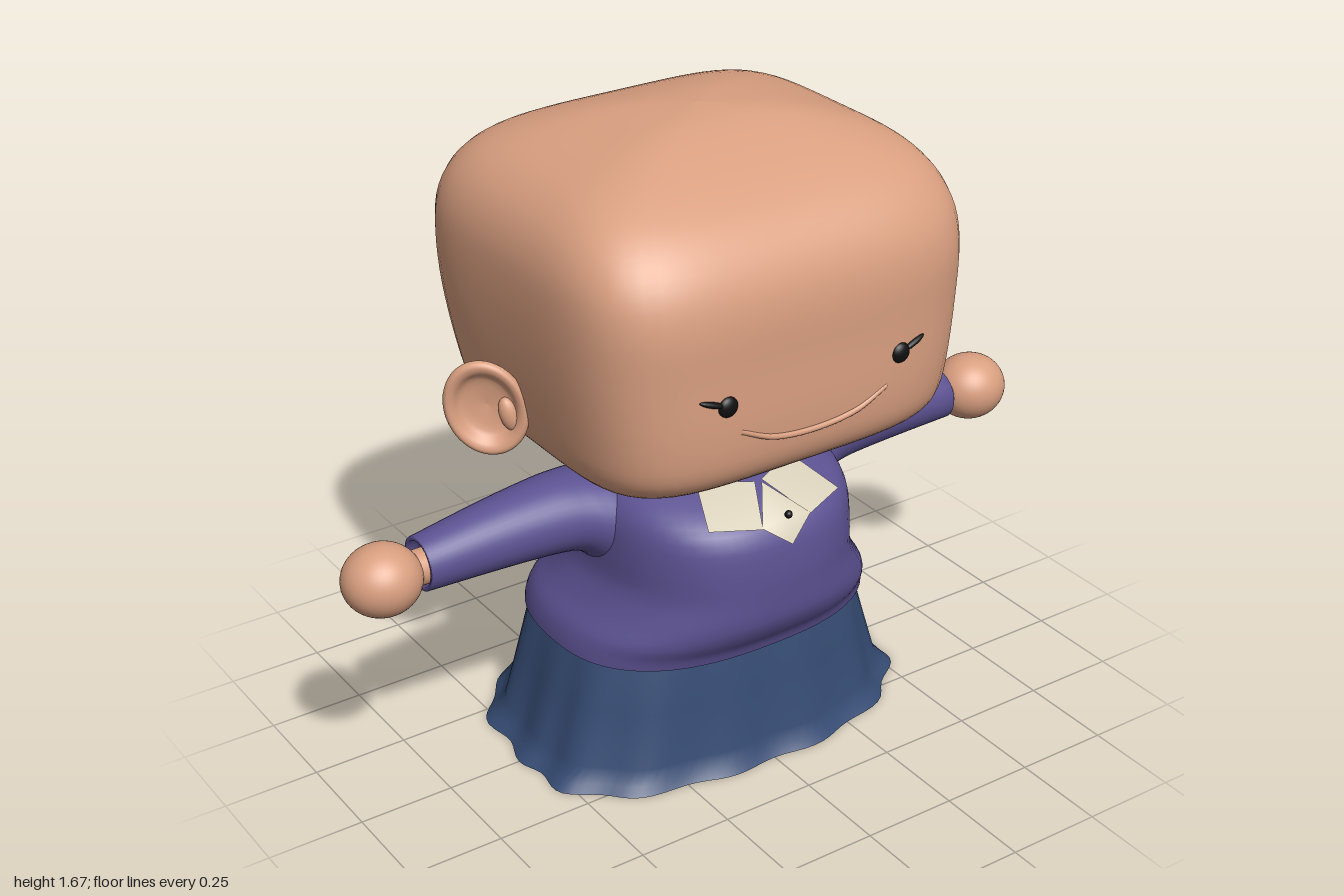
import * as THREE from 'three';

const mat = (name, color, side = THREE.FrontSide) => {
  const m = new THREE.MeshStandardMaterial({ color, side });
  m.name = name;
  return m;
};

// Smooth Catmull-Rom resampling of profile rows
function refine(rows, steps) {
  const out = [];
  for (let i = 0; i < rows.length - 1; i++) {
    const p0 = rows[Math.max(i - 1, 0)], p1 = rows[i], p2 = rows[i + 1];
    const p3 = rows[Math.min(i + 2, rows.length - 1)];
    for (let s = 0; s < steps; s++) {
      const t = s / steps;
      out.push(p1.map((b, k) => {
        const linear = p2[k] - p0[k];
        const square = 2 * p0[k] - 5 * b + 4 * p2[k] - p3[k];
        const cube = 3 * (b - p2[k]) + p3[k] - p0[k];
        return b + 0.5 * t * (linear + t * (square + t * cube));
      }));
    }
  }
  out.push(rows[rows.length - 1]);
  return out;
}

// Skin of closed rings; point(row, angle) gives each position
function loft(rows, n, point) {
  const pos = [], idx = [];
  rows.forEach((row, i) => {
    for (let j = 0; j < n; j++) {
      pos.push(...point(row, j / n * Math.PI * 2));
      if (i === rows.length - 1) continue;
      const k = (j + 1) % n, a = i * n + j, b = a + n, c = i * n + k, d = c + n;
      idx.push(a, b, c, b, d, c);
    }
  });
  const g = new THREE.BufferGeometry();
  g.setAttribute('position', new THREE.Float32BufferAttribute(pos, 3));
  g.setIndex(idx);
  g.computeVertexNormals();
  return g;
}

// Superellipse ring; row = [y, half width, front depth, back depth]
const squareRing = (e) => ([y, rx, zf, zb], t) => {
  const c = Math.cos(t), s = Math.sin(t);
  const r = Math.pow(Math.abs(c) ** e + Math.abs(s) ** e, -1 / e);
  return [rx * r * c, y, (s > 0 ? zf : zb) * r * s];
};

export function createModel() {
  const model = new THREE.Group();
  const skin = mat('skin', 0xd99f80);
  const purple = mat('purple knit', 0x5c5292, THREE.DoubleSide);
  const blue = mat('blue cloth', 0x364c74, THREE.DoubleSide);
  const cream = mat('cream cloth', 0xd8d0ba, THREE.DoubleSide);
  const black = mat('black', 0x101010);

  const add = (name, geo, material, x = 0, y = 0, z = 0, parent = model) => {
    const m = new THREE.Mesh(geo, material);
    m.name = name;
    m.position.set(x, y, z);
    parent.add(m);
    return m;
  };

  // Head: rounded block, narrower at the jaw
  const head = [
    [0.83, 0, 0, 0], [0.834, 0.17, 0.12, 0.08], [0.845, 0.32, 0.22, 0.15],
    [0.87, 0.425, 0.365, 0.27], [0.9, 0.47, 0.43, 0.335], [0.95, 0.502, 0.474, 0.41],
    [1.04, 0.52, 0.49, 0.455], [1.2, 0.54, 0.491, 0.494], [1.34, 0.546, 0.49, 0.505],
    [1.44, 0.535, 0.46, 0.493], [1.52, 0.495, 0.395, 0.453], [1.58, 0.42, 0.3, 0.38],
    [1.63, 0.285, 0.185, 0.25], [1.66, 0.14, 0.09, 0.12], [1.67, 0, 0, 0]];
  add('head', loft(refine(head, 4), 96, squareRing(4.6)), skin);
  add('neck', new THREE.CylinderGeometry(0.055, 0.055, 0.1, 32), skin, 0, 0.82, 0);

  // Smile
  const smile = new THREE.CatmullRomCurve3([[-0.21, 1.065, 0.484], [-0.12, 1.027, 0.488],
    [0, 1.014, 0.488], [0.12, 1.027, 0.488], [0.21, 1.065, 0.484]].map(p => new THREE.Vector3(...p)));
  add('smile', new THREE.TubeGeometry(smile, 40, 0.008, 8), skin);

  // Sweater body, open at the hem
  const sweater = [
    [0.33, 0.44, 0.33, 0.38], [0.36, 0.435, 0.342, 0.372], [0.4, 0.42, 0.372, 0.345],
    [0.45, 0.382, 0.395, 0.295], [0.52, 0.347, 0.4, 0.255], [0.6, 0.342, 0.4, 0.237],
    [0.68, 0.335, 0.385, 0.225], [0.73, 0.315, 0.33, 0.212], [0.765, 0.275, 0.235, 0.198],
    [0.788, 0.21, 0.14, 0.18], [0.8, 0.14, 0.09, 0.15], [0.8, 0, 0, 0]];
  add('sweaterBody', loft(refine(sweater, 3), 72, squareRing(2.5)), purple);

  // Lower torso inside the clothes
  add('torso', new THREE.CylinderGeometry(0.28, 0.38, 0.14, 40), skin, 0, 0.4, -0.03).scale.z = 0.78;

  // Pleated skirt flaring at the hem; last value is the pleat depth
  const skirt = [[0, 0.545, 0.36, 0.435, 0.022], [0.02, 0.525, 0.345, 0.425, 0.02],
    [0.055, 0.495, 0.33, 0.41, 0.016], [0.2, 0.455, 0.31, 0.39, 0.01],
    [0.33, 0.42, 0.293, 0.37, 0.004], [0.37, 0.395, 0.28, 0.33, 0]];
  const oval = squareRing(2.6);
  add('skirt', loft(skirt, 120, (row, t) => {
    const [x, y, z] = oval(row, t);
    const f = 1 + row[4] * (Math.cos(14 * t) + 0.6 * Math.sin(5 * t + 1));
    return [x * f, y, z * f];
  }), blue);

  // Sleeve rows: [x, top, bottom, half depth], turned inward at the cuff
  const sleeveRows = [...refine([
    [0.18, 0.76, 0.46, 0.15], [0.28, 0.777, 0.49, 0.15], [0.335, 0.783, 0.545, 0.133],
    [0.38, 0.786, 0.58, 0.118], [0.45, 0.786, 0.592, 0.106], [0.6, 0.77, 0.597, 0.089],
    [0.797, 0.738, 0.6, 0.07]], 4),
    [0.797, 0.727, 0.611, 0.059], [0.775, 0.725, 0.613, 0.057], [0.775, 0.669, 0.669, 0]];

  // Ear: dished disc with a thick rim
  const earProfile = refine([[0, -0.04], [0.045, -0.034], [0.083, -0.016], [0.1, 0.008],
    [0.093, 0.024], [0.077, 0.02], [0.055, -0.002], [0, -0.012]], 4)
    .map(([r, h]) => new THREE.Vector2(Math.max(r, 0), h));
  const earGeo = new THREE.LatheGeometry(earProfile, 48).rotateX(Math.PI / 2).scale(1, 1.25, 1);

  for (const s of [1, -1]) {
    const side = s > 0 ? 'left' : 'right';
    add(side + 'Sleeve', loft(sleeveRows, 40, ([x, top, bottom, rz], t) => [
      s * x, (top + bottom) / 2 + (top - bottom) / 2 * Math.cos(t), -0.008 - s * rz * Math.sin(t)]), purple);
    add(side + 'Wrist', new THREE.CylinderGeometry(0.045, 0.045, 0.1, 24).rotateZ(Math.PI / 2),
      skin, s * 0.8, 0.665, 0);
    add(side + 'Hand', new THREE.SphereGeometry(0.1, 40, 28).scale(1, 0.9, 0.95), skin, s * 0.9, 0.665, 0);

    const ear = new THREE.Group();
    ear.name = side + 'Ear';
    ear.position.set(s * 0.582, 1.02, -0.03);
    ear.rotation.set(0, s * 0.62, -s * 0.28);
    model.add(ear);
    add(side + 'EarShell', earGeo, skin, 0, 0, 0, ear);
    add(side + 'EarFold', new THREE.SphereGeometry(0.03, 20, 14).scale(0.8, 1.5, 0.7), skin,
      -s * 0.045, -0.035, 0, ear);

    // Eye with a swept lash
    add(side + 'Eye', new THREE.SphereGeometry(0.026, 24, 16).scale(1, 1, 0.6), black, s * 0.248, 1.14, 0.486);
    const lash = add(side + 'Lash', new THREE.SphereGeometry(0.036, 20, 12).scale(1, 0.22, 0.3),
      black, s * 0.288, 1.155, 0.484);
    lash.rotation.set(0, s * 0.12, s * 0.33);
  }

  // Neckerchief: small bulged cloth panels
  const panel = (name, center, corners) => {
    const g = new THREE.BufferGeometry();
    g.setAttribute('position', new THREE.Float32BufferAttribute([center, ...corners].flat(), 3));
    g.setIndex([0, 1, 2, 0, 2, 3, 0, 3, 4, 0, 4, 1]);
    g.computeVertexNormals();
    add(name, g, cream);
  };
  const flap = [[0.01, 0.772, 0.265], [0.07, 0.712, 0.385], [0.195, 0.722, 0.335], [0.14, 0.778, 0.2]];
  const mirror = ([x, y, z]) => [-x, y, z];
  panel('leftCollarFlap', [0.1, 0.752, 0.315], flap);
  panel('rightCollarFlap', [-0.1, 0.752, 0.315], flap.map(mirror).reverse());
  panel('collarTip', [0, 0.728, 0.387],
    [[0, 0.775, 0.28], [-0.072, 0.715, 0.385], [0, 0.662, 0.412], [0.072, 0.715, 0.385]]);
  add('collarButton', new THREE.SphereGeometry(0.01, 16, 12), black, 0, 0.736, 0.392);

  return model;
}
